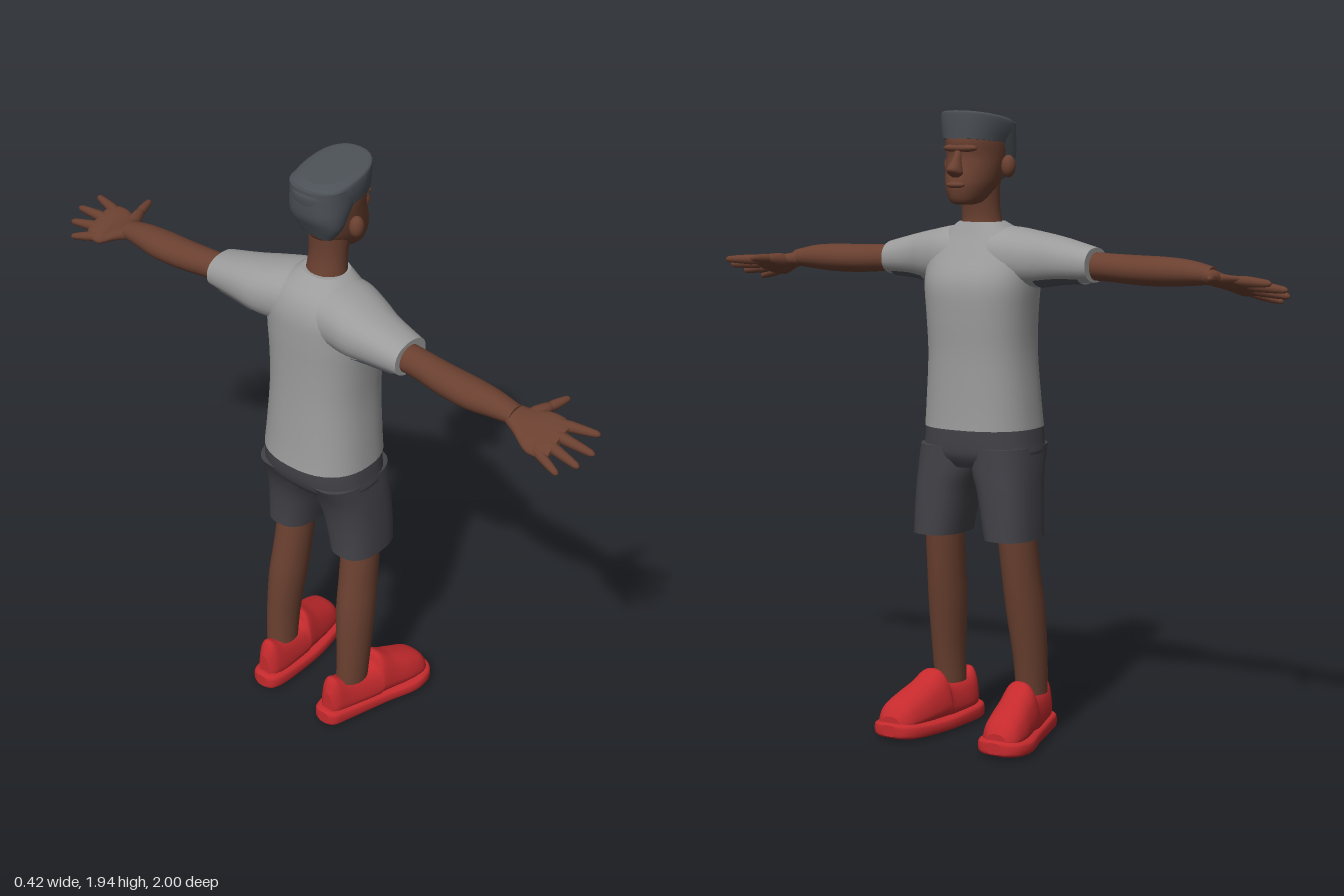
import * as THREE from 'three';

const mat = (name, color, side = THREE.FrontSide) => {
  const m = new THREE.MeshStandardMaterial({ color, side });
  m.name = name;
  return m;
};

const AXES = { x: ['x', 'y', 'z'], y: ['y', 'z', 'x'], z: ['z', 'x', 'y'] };

// Loft along an axis. Section: [t, aMin, aMax, bMin, bMax, shear], where a and b
// are the next two axes in x-y-z order and shear tilts the ring along b.
function loft(axis, sections, { p = 1, taper = 0, sub = 4, n = 28, from = 0, to = 360, caps = true } = {}) {
  const [T, A, B] = AXES[axis];
  const rings = [];
  const last = sections.length - 1;
  const at = (i, k) => sections[Math.min(last, Math.max(0, i))][k] ?? 0;
  for (let i = 0; i <= last * sub; i++) {
    const s = Math.floor(i / sub), f = (i % sub) / sub;
    rings.push([0, 1, 2, 3, 4, 5].map((k) => {
      const p0 = at(s - 1, k), p1 = at(s, k), p2 = at(s + 1, k), p3 = at(s + 2, k);
      const m1 = (p2 - p0) / 2, m2 = (p3 - p1) / 2, d = p2 - p1;
      return p1 + f * m1 + f * f * (3 * d - 2 * m1 - m2) + f * f * f * (m1 + m2 - 2 * d);
    }));
  }
  const pos = [], idx = [], v = new THREE.Vector3();
  const curve = (c) => Math.sign(c) * Math.abs(c) ** p;
  const push = (r, j) => {
    const th = THREE.MathUtils.degToRad(from + (to - from) * j / n);
    const ca = curve(Math.cos(th)), cb = curve(Math.sin(th)) * (1 - taper * (ca + 1) / 2);
    v[A] = (r[1] + r[2]) / 2 + ca * (r[2] - r[1]) / 2;
    v[B] = (r[3] + r[4]) / 2 + cb * (r[4] - r[3]) / 2;
    v[T] = r[0] + r[5] * cb;
    pos.push(v.x, v.y, v.z);
  };
  const closed = to - from === 360, cols = closed ? n : n + 1;
  rings.forEach((r) => { for (let j = 0; j < cols; j++) push(r, j); });
  for (let i = 0; i < rings.length - 1; i++) {
    for (let j = 0; j < n; j++) {
      const a = i * cols + j, b = i * cols + (j + 1) % cols;
      idx.push(a, b, b + cols, a, b + cols, a + cols);
    }
  }
  if (caps) {
    [rings[0], rings[rings.length - 1]].forEach((r, end) => {
      const base = pos.length / 3;
      for (let j = 0; j < n; j++) push(r, j);
      v[T] = r[0]; v[A] = (r[1] + r[2]) / 2; v[B] = (r[3] + r[4]) / 2;
      pos.push(v.x, v.y, v.z);
      for (let j = 0; j < n; j++) {
        const a = base + j, b = base + (j + 1) % n;
        idx.push(base + n, end ? a : b, end ? b : a);
      }
    });
  }
  const g = new THREE.BufferGeometry();
  g.setAttribute('position', new THREE.Float32BufferAttribute(pos, 3));
  g.setIndex(idx);
  g.computeVertexNormals();
  return g;
}

// Tapered rounded finger from point a to point b
function finger(a, b, r0, r1) {
  const s = new THREE.Vector3(...a), d = new THREE.Vector3(...b).sub(s), L = d.length();
  const prof = [[r0 * 0.9, 0], [r0, 0.3], [r1 * 1.1, 0.7], [r1 * 0.85, 0.92], [r1 * 0.45, 0.985], [0, 1]];
  const g = new THREE.LatheGeometry(prof.map(([r, t]) => new THREE.Vector2(r, t * L)), 10);
  g.applyQuaternion(new THREE.Quaternion().setFromUnitVectors(new THREE.Vector3(0, 1, 0), d.normalize()));
  return g.translate(s.x, s.y, s.z);
}

function blob(x, y, z, rx, ry, rz) {
  return new THREE.SphereGeometry(1, 16, 12).scale(rx, ry, rz).translate(x, y, z);
}

// Mirror across z = 0 and keep faces pointing outwards
function mirrored(geo) {
  const g = geo.clone().scale(1, 1, -1), ix = g.index.array;
  for (let i = 0; i < ix.length; i += 3) [ix[i], ix[i + 1]] = [ix[i + 1], ix[i]];
  g.computeVertexNormals();
  return g;
}

export function createModel() {
  const skin = mat('skin', 0x6a4030);
  const shirt = mat('shirt', 0x9c9c9c);
  const shorts = mat('shorts', 0x424248);
  const hair = mat('hair', 0x4c5157);
  const lining = hair.clone();
  lining.name = 'hair';
  lining.side = THREE.DoubleSide;
  const red = mat('shoeRed', 0xc52a2d);
  const model = new THREE.Group();
  model.name = 'figure';
  const add = (name, geo, m) => {
    const mesh = new THREE.Mesh(geo, m);
    mesh.name = name;
    model.add(mesh);
  };
  const pair = (name, geo, m) => {
    add(name + 'PlusZ', geo, m);
    add(name + 'MinusZ', mirrored(geo), m);
  };

  // Head and neck
  add('head', loft('y', [
    [1.657, -0.03, 0.03, 0.03, 0.095], [1.668, -0.048, 0.048, -0.01, 0.115],
    [1.71, -0.07, 0.07, -0.075, 0.125], [1.75, -0.08, 0.08, -0.1, 0.117],
    [1.80, -0.086, 0.086, -0.115, 0.104], [1.85, -0.088, 0.088, -0.122, 0.108],
    [1.90, -0.08, 0.08, -0.11, 0.09],
  ]), skin);
  add('neck', loft('y', [
    [1.56, -0.075, 0.075, -0.1, 0.04], [1.6, -0.064, 0.064, -0.09, 0.025],
    [1.66, -0.06, 0.06, -0.08, 0.03], [1.74, -0.064, 0.064, -0.085, 0.05],
  ]), skin);
  add('nose', loft('y', [
    [1.738, -0.014, 0.014, 0.09, 0.122], [1.75, -0.024, 0.024, 0.085, 0.142],
    [1.765, -0.021, 0.021, 0.085, 0.151], [1.79, -0.014, 0.014, 0.085, 0.128],
    [1.82, -0.012, 0.012, 0.085, 0.108],
  ], { n: 16 }), skin);
  add('lips', blob(0.115, 1.716, 0, 0.018, 0.011, 0.032), skin);
  add('brow', blob(0.09, 1.825, 0, 0.022, 0.014, 0.06), skin);
  pair('ear', blob(-0.02, 1.77, 0.102, 0.024, 0.034, 0.022), skin);

  // Hair, with a flat crown rising to the front
  add('hairBack', loft('y', [
    [1.73, -0.055, 0.055, -0.09, -0.05], [1.77, -0.083, 0.083, -0.112, -0.025],
    [1.81, -0.091, 0.091, -0.132, 0.005], [1.86, -0.094, 0.094, -0.138, 0.05],
    [1.9, -0.094, 0.094, -0.138, 0.06],
  ], { p: 0.85 }), hair);
  add('hairCrown', loft('y', [
    [1.842, -0.091, 0.091, -0.13, 0.112, 0.012], [1.875, -0.096, 0.096, -0.139, 0.115, 0.015],
    [1.905, -0.096, 0.096, -0.14, 0.117, 0.018], [1.918, -0.09, 0.09, -0.125, 0.115, 0.018],
    [1.924, -0.07, 0.07, -0.10, 0.1, 0.012],
  ], { p: 0.85 }), hair);

  // Shirt: body, shoulder yoke with sleeves, dark patch under each sleeve
  add('shirtBody', loft('y', [
    [0.975, -0.182, 0.182, -0.208, 0.112], [1.05, -0.176, 0.176, -0.2, 0.11],
    [1.2, -0.166, 0.166, -0.19, 0.11], [1.32, -0.17, 0.17, -0.187, 0.116],
    [1.42, -0.178, 0.178, -0.187, 0.114], [1.5, -0.172, 0.172, -0.182, 0.078],
    [1.56, -0.13, 0.13, -0.155, 0.048], [1.602, -0.07, 0.07, -0.1, 0.03],
  ], { p: 0.85, n: 40 }), shirt);
  const sleeve = [
    [0, -0.165, 0.06, 1.4, 1.59], [0.1, -0.172, 0.06, 1.4, 1.588],
    [0.18, -0.18, 0.035, 1.405, 1.574], [0.26, -0.174, 0.0, 1.418, 1.557],
    [0.365, -0.16, -0.022, 1.425, 1.53],
  ];
  pair('sleeve', loft('z', sleeve, { p: 0.9 }), shirt);
  const e = 0.004;
  const patch = [[0.2, -0.179, 0.025, 1.408, 1.57], [0.26, -0.174, 0, 1.418, 1.557], [0.335, -0.164, -0.016, 1.423, 1.536]]
    .map(([t, a, b, c, d]) => [t, a - e, b + e, c - e, d + e]);
  pair('sleeveUnderside', loft('z', patch, { p: 0.9, from: 218, to: 318, n: 12, caps: false }), lining);

  // Arms and hands
  pair('arm', loft('z', [
    [0.3, -0.142, -0.045, 1.432, 1.52], [0.4, -0.14, -0.05, 1.43, 1.515],
    [0.5, -0.152, -0.052, 1.423, 1.512], [0.6, -0.158, -0.053, 1.422, 1.51],
    [0.68, -0.147, -0.06, 1.428, 1.503], [0.75, -0.135, -0.068, 1.435, 1.487],
  ], { n: 20 }), skin);
  // The palm tilts down towards the little finger
  const palm = loft('z', [
    [0.73, -0.034, 0.034, -0.025, 0.025], [0.77, -0.047, 0.047, -0.023, 0.023],
    [0.82, -0.066, 0.066, -0.021, 0.021], [0.87, -0.066, 0.066, -0.017, 0.017],
    [0.895, -0.05, 0.05, -0.011, 0.011],
  ], { n: 20, p: 0.9 });
  const pp = palm.attributes.position;
  for (let i = 0; i < pp.count; i++) {
    const k = THREE.MathUtils.clamp((pp.getZ(i) - 0.73) / 0.1, 0, 1);
    pp.setY(i, pp.getY(i) + 1.46 - 0.025 * k + 0.4 * k * pp.getX(i));
    pp.setX(i, pp.getX(i) - 0.1 + 0.006 * k);
  }
  palm.computeVertexNormals();
  pair('palm', palm, skin);
  [
    [[-0.143, 1.415, 0.85], [-0.167, 1.388, 0.945], 0.015, 0.011],
    [[-0.112, 1.428, 0.86], [-0.125, 1.408, 0.985], 0.017, 0.012],
    [[-0.08, 1.441, 0.865], [-0.075, 1.43, 1.0], 0.017, 0.012],
    [[-0.047, 1.453, 0.855], [-0.015, 1.452, 0.975], 0.017, 0.012],
    [[-0.07, 1.452, 0.775], [0.0, 1.462, 0.8], 0.022, 0.016],
    [[-0.015, 1.46, 0.795], [0.057, 1.465, 0.817], 0.015, 0.011],
  ].forEach((f, i) => pair(i < 4 ? 'finger' + (i + 1) : 'thumb' + (i - 3), finger(...f), skin));

  // Shorts
  add('shortsHips', loft('y', [
    [0.855, -0.12, 0.12, -0.15, 0.07], [0.89, -0.185, 0.185, -0.183, 0.092],
    [0.93, -0.185, 0.185, -0.197, 0.098], [0.99, -0.176, 0.176, -0.2, 0.1],
  ], { p: 0.8, n: 36 }), shorts);
  pair('shortsLeg', loft('y', [
    [0.638, 0.05, 0.206, -0.122, 0.092], [0.7, 0.038, 0.204, -0.125, 0.093],
    [0.78, 0.022, 0.199, -0.135, 0.094], [0.85, 0.0, 0.194, -0.155, 0.094],
    [0.92, 0.0, 0.186, -0.19, 0.095],
  ], { p: 0.8 }), shorts);

  // Legs
  pair('leg', loft('y', [
    [0.14, 0.103, 0.197, -0.143, -0.03], [0.25, 0.1, 0.2, -0.14, -0.015],
    [0.4, 0.086, 0.2, -0.132, 0.01], [0.52, 0.08, 0.194, -0.112, 0.027],
    [0.7, 0.07, 0.19, -0.08, 0.045],
  ], { n: 20 }), skin);

  // Shoes, toes turned out
  pair('shoeSole', loft('x', [
    [-0.21, 0.008, 0.05, 0.115, 0.155], [-0.195, 0.002, 0.056, 0.09, 0.178],
    [-0.14, 0, 0.055, 0.078, 0.195], [0, 0, 0.05, 0.078, 0.235],
    [0.1, 0, 0.052, 0.092, 0.27], [0.165, 0.002, 0.055, 0.11, 0.268],
    [0.198, 0.008, 0.055, 0.135, 0.245], [0.208, 0.015, 0.05, 0.165, 0.215],
  ], { p: 0.55 }), red);
  pair('shoeUpper', loft('x', [
    [-0.192, 0.03, 0.12, 0.115, 0.16], [-0.172, 0.03, 0.172, 0.092, 0.18],
    [-0.13, 0.03, 0.155, 0.083, 0.195], [-0.07, 0.03, 0.148, 0.083, 0.215],
    [-0.02, 0.03, 0.155, 0.083, 0.232], [0.0, 0.03, 0.193, 0.083, 0.238],
    [0.05, 0.03, 0.165, 0.09, 0.25], [0.11, 0.03, 0.138, 0.1, 0.264],
    [0.165, 0.03, 0.112, 0.118, 0.262], [0.195, 0.035, 0.075, 0.15, 0.235],
  ], { p: 0.75, taper: 0.35 }), red);

  return model;
}
